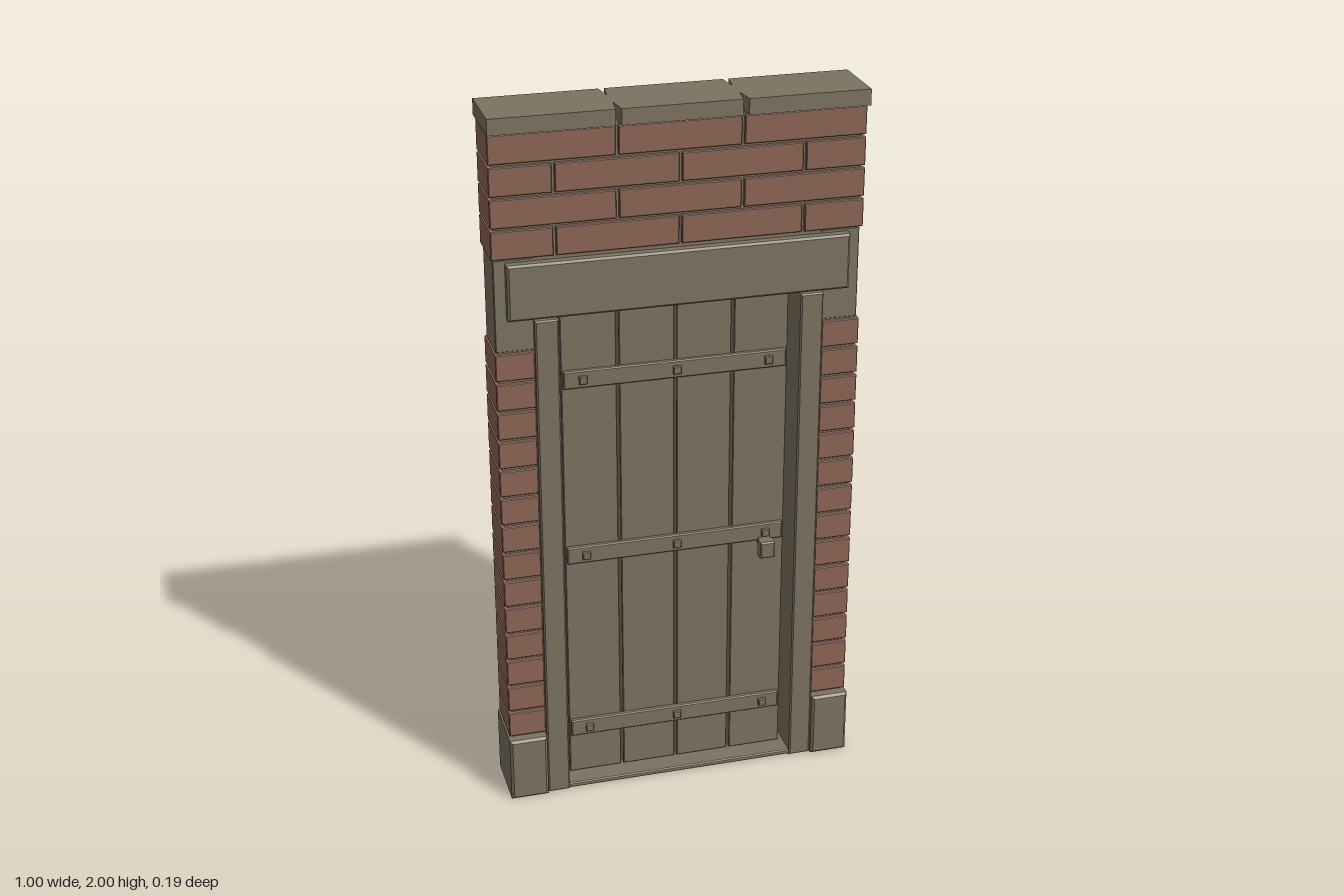
import * as THREE from 'three';

export function createModel() {
  const model = new THREE.Group();
  const stone = new THREE.MeshStandardMaterial({ color: 0x7c7260 });
  stone.name = 'weathered stone and wood';
  const brick = new THREE.MeshStandardMaterial({ color: 0x8e6556 });
  brick.name = 'red brick';

  // Block with chamfered edges, given by its minimum and maximum corners
  function block(name, mat, x0, x1, y0, y1, z0, z1, bevel = 0.004, parent = model) {
    let geo;
    const w = x1 - x0, h = y1 - y0, d = z1 - z0;
    if (bevel > 0) {
      const a = w / 2 - bevel, b = h / 2 - bevel;
      const s = new THREE.Shape();
      s.moveTo(-a, -b).lineTo(a, -b).lineTo(a, b).lineTo(-a, b).closePath();
      geo = new THREE.ExtrudeGeometry(s, {
        depth: d - 2 * bevel, bevelEnabled: true, bevelSize: bevel, bevelThickness: bevel, bevelSegments: 1,
      });
      geo.translate(0, 0, -d / 2 + bevel);
    } else {
      geo = new THREE.BoxGeometry(w, h, d);
    }
    const mesh = new THREE.Mesh(geo, mat);
    mesh.name = name;
    mesh.position.set((x0 + x1) / 2, (y0 + y1) / 2, (z0 + z1) / 2);
    parent.add(mesh);
    return mesh;
  }

  // Both sides of the opening
  for (const side of [-1, 1]) {
    const label = side > 0 ? 'left' : 'right';
    const mirrored = (name, mat, a, b, ...rest) =>
      block(label + name, mat, Math.min(side * a, side * b), Math.max(side * a, side * b), ...rest);
    mirrored('Plinth', stone, 0.393, 0.5, 0, 0.192, -0.094, 0.094, 0.007);
    mirrored('PierMortar', stone, 0.385, 0.488, 0.15, 1.38, -0.062, 0.062, 0);
    mirrored('LintelBearing', stone, 0.385, 0.493, 1.365, 1.618, -0.063, 0.063, 0.002);
    mirrored('FramePost', stone, 0.329, 0.392, 0, 1.45, -0.083, 0.083, 0.004);
    // Pier brick courses
    const rows = 14, pitch = (1.367 - 0.195) / rows;
    for (let i = 0; i < rows; i++) {
      const y = 0.195 + i * pitch;
      mirrored('PierBrick', brick, 0.393, 0.497, y + 0.005, y + pitch - 0.005, -0.074, 0.074, 0.002);
    }
  }

  // Lintel beam across the opening and the wall core above it
  block('lintel', stone, -0.462, 0.46, 1.457, 1.61, -0.09, 0.09, 0.006);
  block('wallCore', stone, -0.488, 0.488, 1.6, 1.965, -0.062, 0.062, 0);

  // Upper brick courses in running bond
  const course = 0.084;
  for (let r = 0; r < 4; r++) {
    const cuts = r % 2 ? [-0.498, -0.166, 0.166, 0.498] : [-0.498, -0.332, 0, 0.332, 0.498];
    const y = 1.62 + r * course;
    for (let i = 0; i < cuts.length - 1; i++) {
      const l = i ? 0.004 : 0, e = i < cuts.length - 2 ? 0.004 : 0;
      block('upperBrick', brick, cuts[i] + l, cuts[i + 1] - e, y + 0.003, y + course - 0.005, -0.074, 0.074, 0.002);
    }
  }

  // Coping slab, notched by tapering joints on both faces
  const outline = [[-0.5, -0.094]];
  const notch = (x, s) => outline.push([x - s * 0.008, -s * 0.094], [x, -s * 0.032], [x + s * 0.008, -s * 0.094]);
  notch(-0.166, 1);
  notch(0.166, 1);
  outline.push([0.5, -0.094], [0.5, 0.094]);
  notch(0.166, -1);
  notch(-0.166, -1);
  outline.push([-0.5, 0.094]);
  const copingShape = new THREE.Shape(outline.map(([x, z]) => new THREE.Vector2(x, z)));
  const copingGeo = new THREE.ExtrudeGeometry(copingShape, { depth: 0.043, bevelEnabled: false });
  copingGeo.rotateX(-Math.PI / 2);
  const coping = new THREE.Mesh(copingGeo, stone);
  coping.name = 'coping';
  coping.position.y = 1.957;
  model.add(coping);

  // Threshold
  block('threshold', stone, -0.332, 0.332, 0, 0.015, -0.078, 0.078, 0.003);

  // Plank door with small gaps between the boards
  const door = new THREE.Group();
  door.name = 'door';
  model.add(door);
  for (let i = 0; i < 4; i++) {
    const x = -0.318 + i * 0.159;
    block('plank', stone, x + 0.004, x + 0.155, 0.018, 1.44, -0.022, 0.022, 0.002, door);
  }

  // Straps, studs and latch on both faces of the door
  for (const s of [-1, 1]) {
    const onFace = (name, x0, x1, y0, y1, a, b, bevel) =>
      block(name, stone, x0, x1, y0, y1, Math.min(s * a, s * b), Math.max(s * a, s * b), bevel, door);
    for (const y of [0.17, 0.727, 1.253]) {
      onFace('strap', -0.31, 0.306, y - 0.025, y + 0.025, 0.02, 0.036, 0.003);
      for (const x of [-0.258, 0, 0.256]) {
        onFace('stud', x - 0.011, x + 0.011, y - 0.011, y + 0.011, 0.034, 0.046, 0.002);
      }
    }
    onFace('latchStem', 0.238, 0.268, 0.69, 0.712, 0.02, 0.05, 0);
    onFace('latch', 0.233, 0.275, 0.662, 0.712, 0.04, 0.074, 0.004);
  }
  return model;
}
